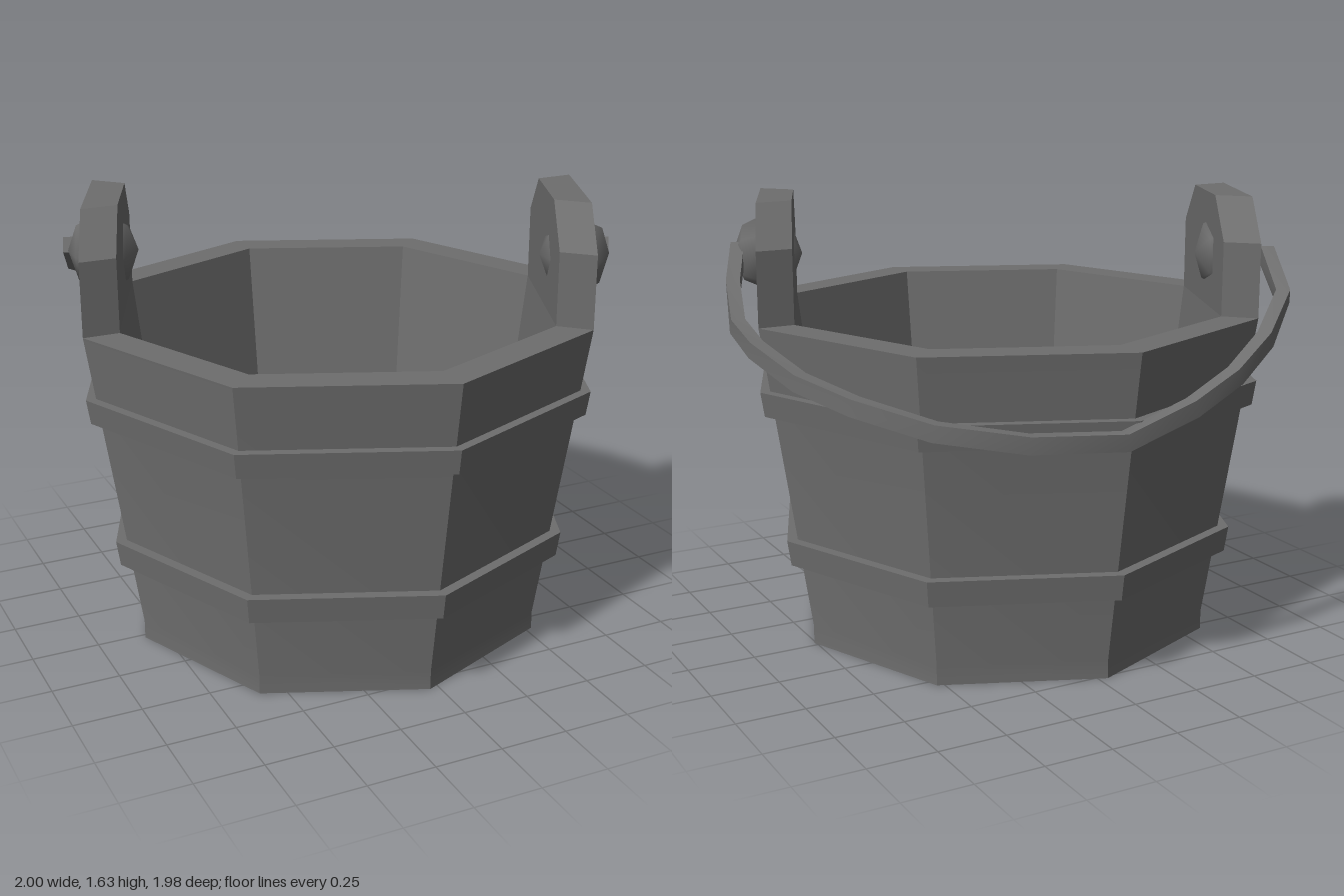
import * as THREE from 'three';
import { toCreasedNormals } from 'three/addons/utils/BufferGeometryUtils.js';

const CX = -0.033, CZ = 0.02; // axis of the bucket
const RIM = 1.21, R_OUT = 0.964, R_IN = 0.83;

const material = new THREE.MeshStandardMaterial({ color: 0x6e6e6e });

function add(parent, name, geometry) {
  const mesh = new THREE.Mesh(geometry, material);
  mesh.name = name;
  parent.add(mesh);
  return mesh;
}

// Eight-sided solid of revolution with corners on the x and z axes
const octLathe = (pts) => toCreasedNormals(
  new THREE.LatheGeometry(pts.map(([r, y]) => new THREE.Vector2(r, y)), 8), 0.5);

// Chamfered board that continues one wall segment above the rim
function earGeometry() {
  const outline = [[0, RIM], [1, RIM], [1, 1.48], [0.8, 1.63], [0.2, 1.63], [0, 1.48]];
  const shape = new THREE.Shape(outline.map(([s, y]) => new THREE.Vector2(s, y)));
  const geo = new THREE.ExtrudeGeometry(shape, { depth: 1, bevelEnabled: false });
  const pos = geo.attributes.position;
  const c = Math.SQRT1_2;
  for (let i = 0; i < pos.count; i++) {
    const y = pos.getY(i), depth = pos.getZ(i);
    // the flat top is a little shorter on the inner face, so the chamfers stay level
    const narrow = y > 1.6 ? THREE.MathUtils.lerp(0.87, 1, depth) : 1;
    const s = 0.5 + (pos.getX(i) - 0.5) * narrow;
    const r = THREE.MathUtils.lerp(R_IN, R_OUT, depth);
    pos.setXYZ(i, r * (c + (1 - c) * s), y, r * c * (1 - s));
  }
  return toCreasedNormals(geo, 0.3);
}

// Rectangular bar swept along a list of points
function barGeometry(path, halfWidth, halfHeight) {
  const up = new THREE.Vector3(0, 1, 0);
  const verts = [], index = [];
  path.forEach((p, i) => {
    const t = path[Math.min(i + 1, path.length - 1)].clone()
      .sub(path[Math.max(i - 1, 0)]).normalize();
    const side = t.clone().cross(up).normalize();
    const top = side.clone().cross(t);
    for (const [a, b] of [[-1, -1], [1, -1], [1, 1], [-1, 1]]) {
      const v = p.clone().addScaledVector(side, a * halfWidth).addScaledVector(top, b * halfHeight);
      verts.push(v.x, v.y, v.z);
    }
    if (i === 0) return;
    const n = i * 4, m = n - 4;
    for (let k = 0; k < 4; k++) {
      const l = (k + 1) % 4;
      index.push(m + k, n + l, m + l, m + k, n + k, n + l);
    }
  });
  const e = (path.length - 1) * 4;
  index.push(0, 1, 2, 0, 2, 3, e, e + 2, e + 1, e, e + 3, e + 2);
  const geo = new THREE.BufferGeometry();
  geo.setAttribute('position', new THREE.Float32BufferAttribute(verts, 3));
  geo.setIndex(index);
  return toCreasedNormals(geo, 0.6);
}

export function createModel() {
  const model = new THREE.Group();
  model.name = 'bucket';
  const body = new THREE.Group();
  body.name = 'bucketBody';
  body.position.set(CX, 0, CZ);
  model.add(body);

  // Hollow tapered tub
  add(body, 'tub', octLathe([
    [0, 0], [0.79, 0], [0.79, 0.07], [R_OUT, RIM], [R_IN, RIM], [0.685, 0.07], [0, 0.07],
  ]));

  // Hoops around the wall, closed on the hidden inner side
  for (const [name, y0, y1, r0, r1] of [
    ['lowerHoop', 0.32, 0.415, 0.87, 0.884],
    ['upperHoop', 0.89, 0.98, 0.952, 0.966],
  ]) {
    const inner = r0 - 0.08;
    add(body, name, octLathe([[inner, y0], [r0, y0], [r1, y1], [inner, y1], [inner, y0]]));
  }

  // Opposite ears, each with a rounded five-sided peg through it
  const ear = earGeometry();
  const peg = new THREE.SphereGeometry(0.153, 5, 4)
    .scale(1, 0.84, 1)
    .rotateX(Math.PI / 2).rotateY(THREE.MathUtils.degToRad(67.5));
  add(body, 'leftEar', ear);
  add(body, 'rightEar', ear).rotation.y = Math.PI;
  add(body, 'leftPeg', peg).position.set(0.775, 1.405, 0.395);
  add(body, 'rightPeg', peg).position.set(-0.757, 1.405, -0.385);

  // Handle hanging down behind the tub
  const path = [
    [0.85, 1.43, 0.43], [0.93, 1.32, 0.27], [0.972, 1.205, 0.12], [0.965, 1.15, -0.04],
    [0.915, 1.085, -0.31], [0.815, 1.04, -0.54], [0.635, 0.985, -0.765], [0.37, 0.945, -0.91],
    [0.04, 0.925, -0.967], [-0.24, 1.0, -0.943], [-0.44, 1.08, -0.905],
    [-0.62, 1.175, -0.83], [-0.81, 1.285, -0.675], [-0.885, 1.41, -0.47],
  ].map((p) => new THREE.Vector3(...p));
  add(model, 'handle', barGeometry(path, 0.025, 0.03));

  return model;
}
